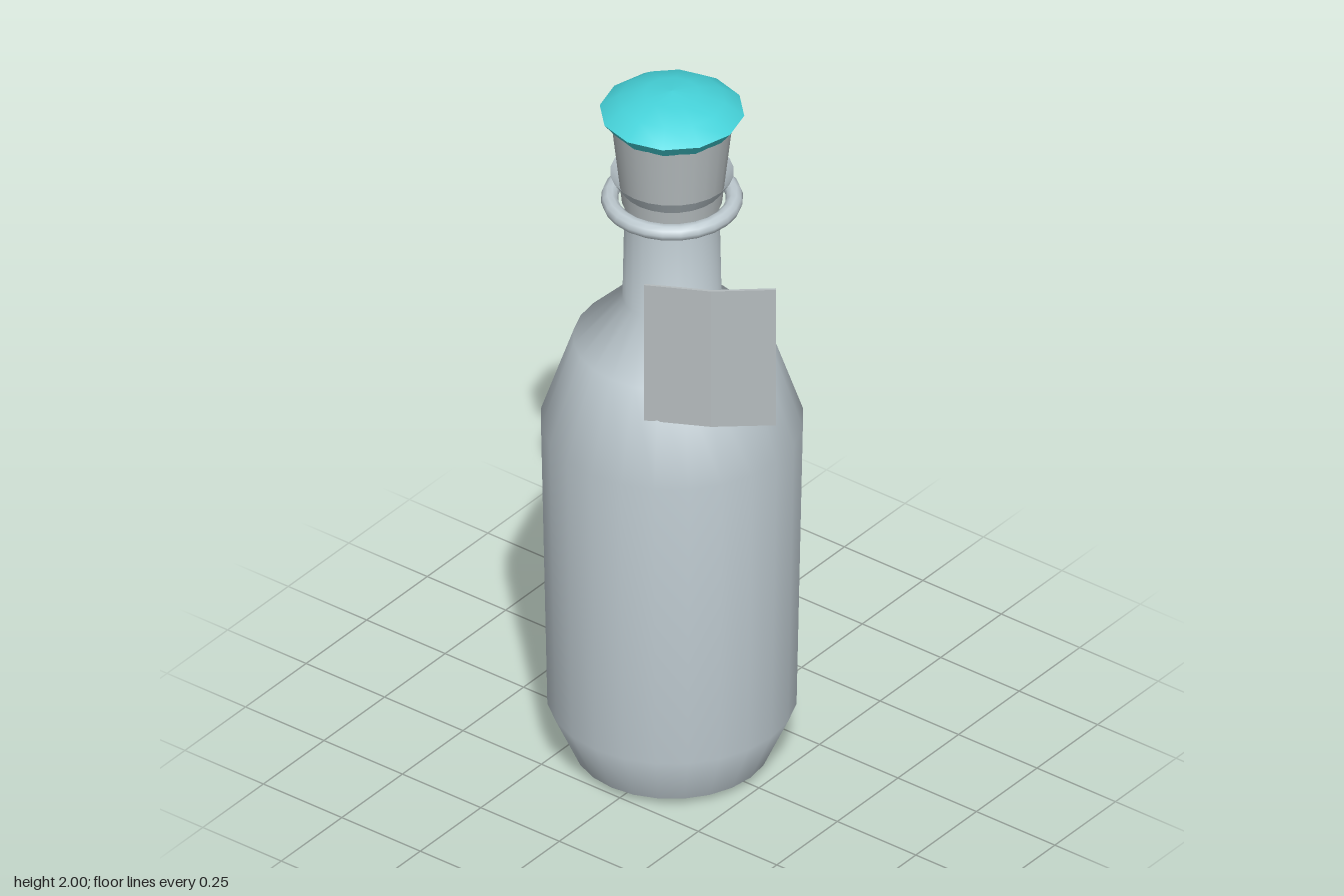
import * as THREE from 'three';

const glass = new THREE.MeshStandardMaterial({ color: 0xbfcbd1, side: THREE.DoubleSide });
glass.name = 'pale grey glass';
const stopperGrey = new THREE.MeshStandardMaterial({ color: 0xb5bcbe, side: THREE.DoubleSide });
stopperGrey.name = 'neutral grey';
const teal = new THREE.MeshStandardMaterial({ color: 0x46d3da });
teal.name = 'teal';

// Turned part from [radius, height] points, listed bottom to top
function turned(name, points, sides, material) {
  const profile = points.map(([r, y]) => new THREE.Vector2(r, y));
  const mesh = new THREE.Mesh(new THREE.LatheGeometry(profile, sides), material);
  mesh.name = name;
  return mesh;
}

export function createModel() {
  const model = new THREE.Group();
  model.name = 'bottle';

  // Everything turned shares one axis, slightly off centre
  const body = new THREE.Group();
  body.name = 'turnedBody';
  body.position.x = -0.027;
  model.add(body);

  body.add(
    turned('base', [[0, 0], [0.25, 0.02]], 24, glass),
    turned('bottleWall', [[0.25, 0.02], [0.317, 0.17], [0.333, 1.01], [0.25, 1.255], [0.126, 1.38], [0.12, 1.69]], 24, glass),
    turned('flaredLip', [[0.115, 1.69], [0.157, 1.755]], 24, glass),
    turned('stopper', [[0.127, 1.67], [0.155, 1.92]], 24, stopperGrey),
    turned('capUnderside', [[0, 1.905], [0.157, 1.905]], 12, teal),
    turned('capRim', [[0.157, 1.905], [0.184, 1.94]], 12, teal),
    turned('capDome', [[0.184, 1.94], [0.135, 1.975], [0.07, 1.994], [0, 2]], 12, teal),
  );

  // Neck ring
  const ring = new THREE.Mesh(new THREE.TorusGeometry(0.158, 0.022, 10, 24), glass);
  ring.name = 'neckRing';
  ring.rotation.x = Math.PI / 2;
  ring.position.y = 1.675;
  body.add(ring);

  // Thin folded tag, its plan outline extruded upwards
  const plan = [[0.08, 0.254], [0.232, 0.174], [0.357, 0.068], [0.352, 0.062], [0.228, 0.168], [0.078, 0.248]];
  const outline = new THREE.Shape(plan.map(([x, z]) => new THREE.Vector2(x, -z)));
  const tagGeometry = new THREE.ExtrudeGeometry(outline, { depth: 0.41, bevelEnabled: false });
  tagGeometry.rotateX(-Math.PI / 2);
  const tag = new THREE.Mesh(tagGeometry, stopperGrey);
  tag.name = 'tag';
  tag.position.y = 1.178;
  model.add(tag);

  return model;
}
